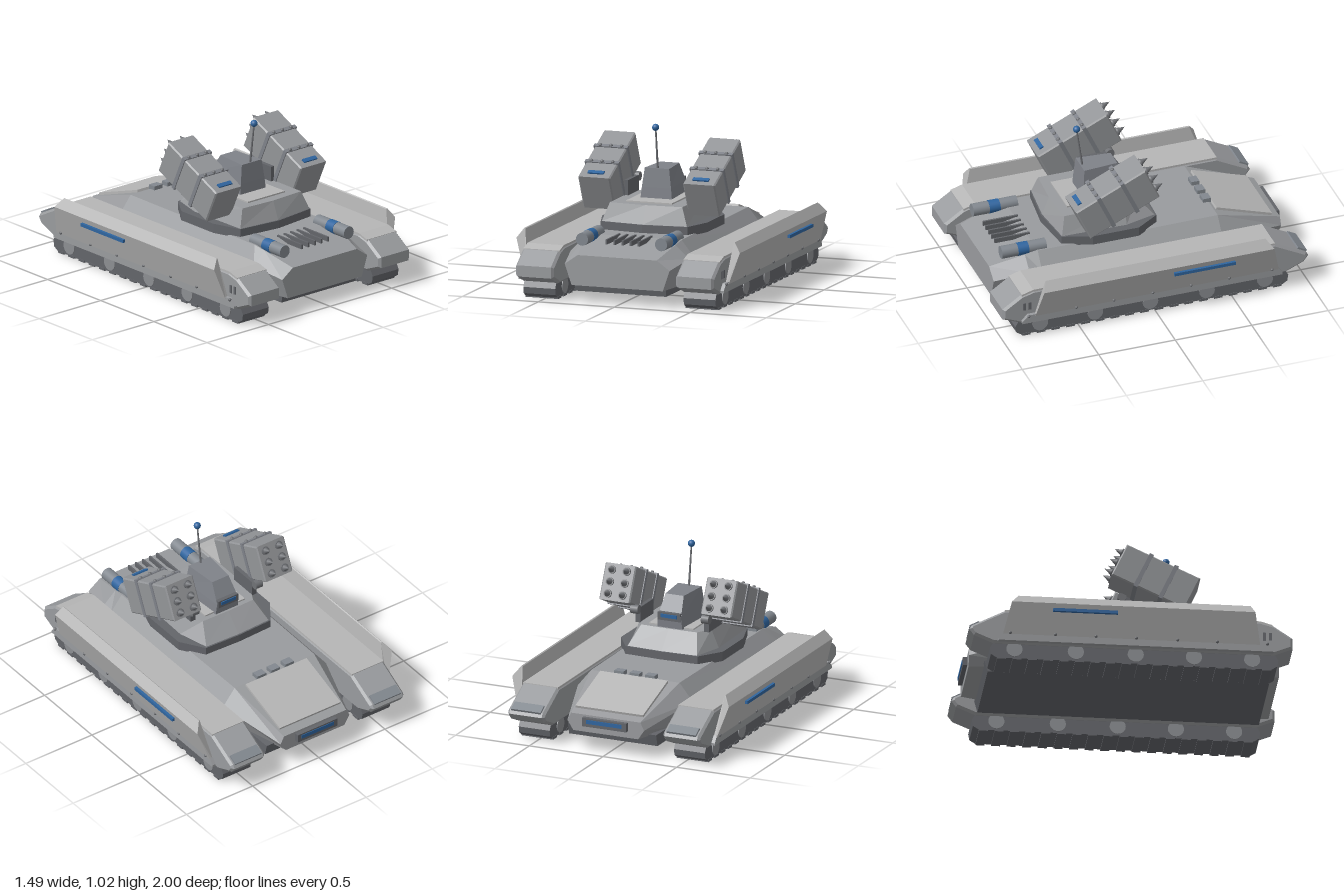
import * as THREE from 'three';

const paint = (color, flatShading = true) => new THREE.MeshStandardMaterial({ color, flatShading });
const light = paint(0xb6b6b6);
const armour = paint(0x999b9e);
const launcherGrey = paint(0x939598);
const cupolaGrey = paint(0x7f8289);
const dark = paint(0x63656a);
const wheelGrey = paint(0x8c8e92, false);
const drumGrey = paint(0x82888f, false);
const fitting = paint(0x707276, false);
const blue = paint(0x2f659f, false);

function add(parent, name, mat, geo, pos = [0, 0, 0], rx = 0) {
  const m = new THREE.Mesh(geo, mat);
  m.name = name;
  m.position.set(...pos);
  m.rotation.x = rx;
  parent.add(m);
}
function group(parent, name) {
  const g = new THREE.Group();
  g.name = name;
  parent.add(g);
  return g;
}
const box = (w, h, d) => new THREE.BoxGeometry(w, h, d);
const cylX = (r, l) => new THREE.CylinderGeometry(r, r, l, 20).rotateZ(Math.PI / 2);
const cylZ = (r, l) => new THREE.CylinderGeometry(r, r, l, 24).rotateX(Math.PI / 2);
const bolt = r => new THREE.SphereGeometry(r, 10, 8);

// Skin between rings of [x, y, z] points, capped at both ends
function loft(rings) {
  const n = rings[0].length, idx = [];
  rings.slice(1).forEach((_, i) => {
    for (let j = 0; j < n; j++) {
      const a = i * n + j, b = i * n + (j + 1) % n;
      idx.push(a, b, b + n, a, b + n, a + n);
    }
  });
  const e = (rings.length - 1) * n;
  for (let j = 1; j < n - 1; j++) idx.push(0, j + 1, j, e, e + j, e + j + 1);
  const g = new THREE.BufferGeometry();
  g.setAttribute('position', new THREE.Float32BufferAttribute(rings.flat(2), 3));
  g.setIndex(idx);
  const out = g.toNonIndexed();
  out.computeVertexNormals();
  return out;
}

// Side profile of [z, y] points extruded across x, centred on x = 0
function profileX(pts, width, bevel = 0) {
  const shape = new THREE.Shape(pts.map(p => new THREE.Vector2(...p)));
  const g = new THREE.ExtrudeGeometry(shape, {
    depth: width - 2 * bevel, bevelEnabled: bevel > 0, bevelSize: bevel,
    bevelOffset: -bevel, bevelThickness: bevel, bevelSegments: 1,
  });
  return g.rotateY(-Math.PI / 2).translate(width / 2 - bevel, 0, 0);
}

// Mirrored plan ring at height y from right-half [x, z] points, +z to -z
const planRing = (half, y) => [
  ...half.map(([x, z]) => [x, y, z]),
  ...half.filter(p => p[0] > 0).reverse().map(([x, z]) => [-x, y, z]),
];

function buildHull(root) {
  const hull = group(root, 'hull');
  // z, then half width and height of the bottom, waist and deck
  const stations = [
    [-0.96, 0.22, 0.13, 0.26, 0.19, 0.235, 0.24],
    [-0.53, 0.32, 0.11, 0.39, 0.27, 0.30, 0.38],
    [0.65, 0.335, 0.11, 0.39, 0.28, 0.31, 0.38],
    [0.73, 0.335, 0.11, 0.39, 0.28, 0.30, 0.362],
    [0.95, 0.30, 0.11, 0.345, 0.24, 0.26, 0.30],
  ];
  add(hull, 'hullBody', armour, loft(stations.map(([z, a, ya, b, yb, c, yc]) => [
    [-a, ya, z], [a, ya, z], [b, yb, z], [c, yc, z], [-c, yc, z], [-b, yb, z],
  ])));
  add(hull, 'bellyPlate', dark, profileX([[0.9, 0.12], [0.89, 0.065], [-0.85, 0.065], [-0.87, 0.14]], 0.6));
  add(hull, 'glacisPanel', light, box(0.46, 0.03, 0.38), [0, 0.317, -0.725], -0.315);
  for (const x of [-0.105, 0, 0.105])
    add(hull, 'periscope', drumGrey, box(0.065, 0.03, 0.052), [x, 0.39, -0.52]);
  add(hull, 'headlightHousing', dark, box(0.3, 0.055, 0.05), [0, 0.2, -0.962]);
  add(hull, 'headlight', blue, box(0.24, 0.025, 0.01), [0, 0.205, -0.986]);
  for (let i = -2; i <= 2; i++)
    add(hull, 'ventBar', dark, box(0.012, 0.03, 0.23), [i * 0.053, 0.376, 0.745]);
  for (const s of [-1, 1]) {
    add(hull, 'exhaustDrum', drumGrey, cylZ(0.04, 0.29), [s * 0.26, 0.385, 0.73]);
    add(hull, 'exhaustBand', blue, cylZ(0.0415, 0.07), [s * 0.26, 0.385, 0.735]);
  }
}

function buildTrackUnit(root, s) {
  const unit = group(root, s > 0 ? 'leftTrackUnit' : 'rightTrackUnit');
  const x = s * 0.527;
  add(unit, 'trackFairing', armour, profileX([
    [-0.85, 0.1], [0.88, 0.1], [1, 0.15], [1, 0.22], [0.88, 0.3], [0.8, 0.322],
    [-0.78, 0.322], [-0.985, 0.215], [-1, 0.19], [-0.97, 0.15],
  ], 0.25, 0.015), [x, 0, 0]);
  add(unit, 'fairingCover', light, profileX([
    [-0.78, 0.312], [0.79, 0.312], [0.875, 0.292], [0.875, 0.304], [0.8, 0.326], [-0.78, 0.326],
  ], 0.238), [x, 0, 0]);
  add(unit, 'fairingEndPlate', drumGrey, box(0.2, 0.02, 0.065), [x, 0.228, -0.962], -0.493);
  for (const z of [0.825, 0.86])
    add(unit, 'fairingSlot', dark, box(0.01, 0.05, 0.018), [s * 0.652, 0.22, z]);

  // Track belt, cleats and road wheels
  add(unit, 'trackBelt', dark, profileX([
    [0.87, 0.008], [0.905, 0.03], [0.912, 0.07], [0.89, 0.11],
    [-0.85, 0.11], [-0.872, 0.07], [-0.865, 0.03], [-0.83, 0.008],
  ], 0.21), [x, 0, 0]);
  for (let i = 0; i < 18; i++)
    add(unit, 'trackCleat', dark, box(0.216, 0.016, 0.055), [x, 0.008, -0.8 + i * 0.0965]);
  for (const z of [0.75, 0.39, 0.03, -0.34, -0.72])
    add(unit, 'roadWheel', wheelGrey, cylX(0.05, 0.222), [x, 0.068, z]);

  // Flared armour skirt
  const skirtEnd = (top, mid, low) => {
    const ring = [[0.65, 0.13, low], [0.668, 0.13, low], [0.735, 0.345, mid], [0.692, 0.405, top], [0.685, 0.4, top]];
    const pts = ring.map(([px, y, z]) => [s * px, y, z]);
    return s > 0 ? pts : pts.reverse();
  };
  add(unit, 'armourSkirt', light, loft([skirtEnd(-0.7, -0.745, -0.8), skirtEnd(0.735, 0.76, 0.8)]));
  add(unit, 'skirtRail', armour, profileX([
    [-0.82, 0.11], [0.88, 0.11], [0.88, 0.125], [0.84, 0.165], [-0.79, 0.165], [-0.82, 0.125],
  ], 0.03), [s * 0.66, 0, 0]);
  add(unit, 'skirtLight', blue, box(0.018, 0.02, 0.4), [s * 0.734, 0.3, -0.29]);
  for (const z of [0.84, 0.53, 0.285, 0.03, -0.22, -0.47, -0.75])
    add(unit, 'rivet', fitting, bolt(0.01), [s * 0.677, 0.16, z]);
}

function buildTurret(root) {
  const turret = group(root, 'turret');
  const base = [[0, 0.52], [0.285, 0.485], [0.345, 0.3], [0.345, 0.0], [0.245, -0.15], [0, -0.16]];
  add(turret, 'turretRing', dark, loft([planRing(base, 0.37), planRing(base, 0.43)]));
  add(turret, 'turretBody', armour, loft([
    planRing([[0, 0.51], [0.28, 0.48], [0.29, 0.06], [0.235, -0.14], [0, -0.15]], 0.43),
    planRing([[0, 0.465], [0.238, 0.45], [0.24, 0.06], [0.19, -0.04], [0, -0.045]], 0.545),
  ]));
  add(turret, 'roofPlate', light, box(0.3, 0.016, 0.41), [0, 0.546, 0.195]);

  // Tapered sensor cupola with a sloped face
  add(turret, 'cupola', cupolaGrey, loft([
    planRing([[0.104, 0.275], [0.085, -0.03]], 0.545),
    planRing([[0.096, 0.271], [0.078, -0.035]], 0.62),
    planRing([[0.08, 0.262], [0.062, 0.04]], 0.74),
  ]));
  add(turret, 'sensorHousing', dark, box(0.15, 0.05, 0.05), [0, 0.62, -0.02]);
  add(turret, 'sensorLens', blue, box(0.11, 0.022, 0.01), [0, 0.625, -0.046]);
  add(turret, 'antennaRod', fitting, new THREE.CylinderGeometry(0.005, 0.007, 0.28, 10), [0, 0.86, 0.265], 0.14);
  add(turret, 'antennaTip', blue, new THREE.SphereGeometry(0.022, 20, 14), [0, 1.0, 0.284]);
}

function buildLauncher(root, s) {
  const mount = group(root, s > 0 ? 'leftLauncherMount' : 'rightLauncherMount');
  add(mount, 'mountArm', dark, box(0.035, 0.1, 0.19), [s * 0.232, 0.59, 0.1]);
  add(mount, 'mountPivot', fitting, cylX(0.028, 0.05), [s * 0.24, 0.63, -0.015]);

  // Launcher box tilted up towards -z
  const pod = group(root, s > 0 ? 'leftLauncher' : 'rightLauncher');
  pod.position.set(s * 0.345, 0.692, 0.175);
  pod.rotation.x = 0.433;
  const h = 0.116, l = 0.25;
  add(pod, 'launcherBox', launcherGrey, profileX([[-l, -h], [l, -h], [l, h], [-l, h]], 0.21, 0.008));
  for (const z of [0.085, -0.085]) {
    add(pod, 'launcherBand', cupolaGrey, box(0.222, 0.246, 0.026), [0, 0, z]);
    for (const x of [-0.07, 0, 0.07])
      add(pod, 'bandBolt', fitting, bolt(0.012), [x, 0.123, z]);
  }
  add(pod, 'launcherLight', blue, box(0.105, 0.012, 0.028), [0, h + 0.003, 0.2]);
  for (const x of [-0.05, 0.05]) for (const y of [-0.075, 0, 0.075]) {
    add(pod, 'tubeCollar', fitting, cylZ(0.026, 0.018), [x, y, -l - 0.002]);
    add(pod, 'missileTip', fitting, new THREE.ConeGeometry(0.021, 0.05, 14).rotateX(-Math.PI / 2), [x, y, -l - 0.034]);
  }
}

export function createModel() {
  const root = new THREE.Group();
  root.name = 'missileTank';
  buildHull(root);
  buildTurret(root);
  for (const s of [-1, 1]) {
    buildTrackUnit(root, s);
    buildLauncher(root, s);
  }
  return root;
}
